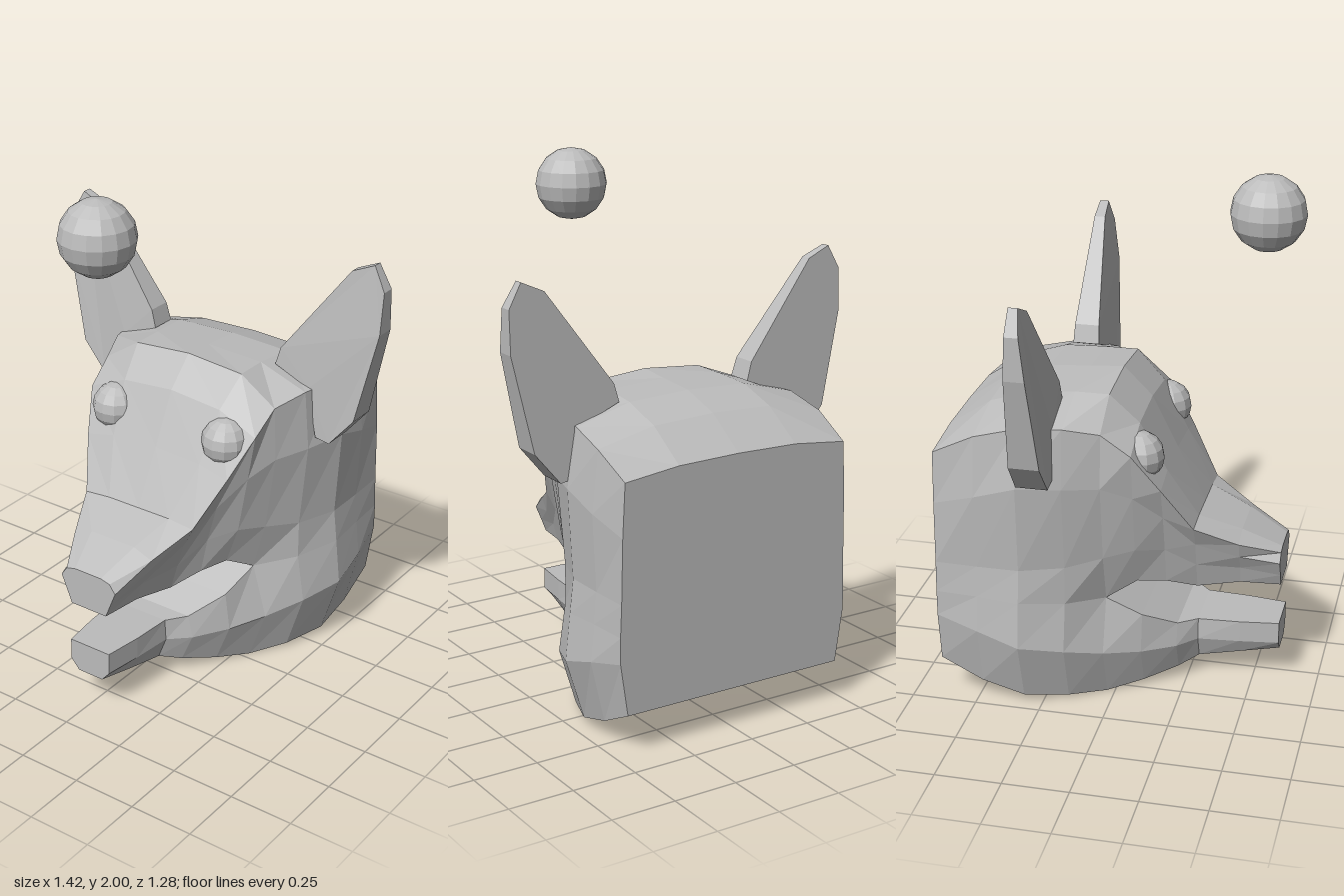
import * as THREE from 'three';

const grey = new THREE.MeshStandardMaterial({ color: 0xbcbcbc, flatShading: true });
grey.name = 'plain grey';

// Loft mirrored half outlines (listed top centre to bottom centre) from back to front.
function loft(sections, capBack, capFront) {
  const pos = [];
  const rings = sections.map(([z, ...half]) => {
    const mirrored = half.slice(1, -1).reverse().map(([x, y]) => [-x, y]);
    return [...half, ...mirrored].map(([x, y]) => [x, y, z]);
  });
  const tri = (...pts) => pts.forEach((p) => pos.push(...p));
  const n = rings[0].length;
  for (let i = 0; i < rings.length - 1; i++) {
    for (let k = 0; k < n; k++) {
      const a = rings[i][k], b = rings[i][(k + 1) % n];
      const d = rings[i + 1][k], c = rings[i + 1][(k + 1) % n];
      tri(a, d, c);
      tri(a, c, b);
    }
  }
  const back = rings[0], front = rings[rings.length - 1];
  for (let k = 1; k < n - 1; k++) {
    if (capBack) tri(back[0], back[k], back[k + 1]);
    if (capFront) tri(front[0], front[k + 1], front[k]);
  }
  const geo = new THREE.BufferGeometry();
  geo.setAttribute('position', new THREE.Float32BufferAttribute(pos, 3));
  geo.computeVertexNormals();
  return geo;
}

// Ear slab that thins towards its tip
function earGeometry(side) {
  const outline = [[0.28, 1.2], [0.3, 1.27], [0.57, 1.63], [0.66, 1.67], [0.71, 1.58],
    [0.71, 1.42], [0.63, 1.06], [0.53, 0.94], [0.47, 0.95], [0.43, 1.14]];
  const shape = new THREE.Shape(outline.map(([x, y]) => new THREE.Vector2(side * x, y)));
  const geo = new THREE.ExtrudeGeometry(shape, { depth: 1, bevelEnabled: false });
  const p = geo.attributes.position;
  for (let i = 0; i < p.count; i++) {
    const t = (p.getY(i) - 0.94) / 0.73;
    const zBack = -0.31 + 0.03 * t;
    const zFront = -0.19 - 0.055 * t * t;
    p.setZ(i, p.getZ(i) > 0.5 ? zFront : zBack);
  }
  geo.computeVertexNormals();
  return geo;
}

export function createModel() {
  const model = new THREE.Group();
  model.name = 'animalHead';
  const add = (name, geo, x = 0, y = 0, z = 0) => {
    const mesh = new THREE.Mesh(geo, grey);
    mesh.name = name;
    mesh.position.set(x, y, z);
    model.add(mesh);
    return mesh;
  };

  // Skull and cheeks, flat at the back
  add('skull', loft([
    [-0.64, [0, 1.05], [0.25, 1.045], [0.47, 1.02], [0.48, 0.82], [0.485, 0.58], [0.49, 0.46], [0.49, 0.36], [0.46, 0.16], [0, 0.16]],
    [-0.48, [0, 1.16], [0.25, 1.15], [0.48, 1.1], [0.505, 0.87], [0.49, 0.58], [0.5, 0.46], [0.515, 0.32], [0.46, 0.08], [0, 0.08]],
    [-0.32, [0, 1.21], [0.25, 1.2], [0.47, 1.14], [0.51, 0.92], [0.49, 0.58], [0.505, 0.45], [0.525, 0.27], [0.45, 0.03], [0, 0.03]],
    [-0.16, [0, 1.22], [0.24, 1.21], [0.44, 1.14], [0.46, 0.91], [0.43, 0.58], [0.43, 0.43], [0.46, 0.24], [0.39, 0.015], [0, 0.015]],
    [-0.03, [0, 1.23], [0.24, 1.21], [0.39, 1.11], [0.4, 0.9], [0.36, 0.6], [0.31, 0.41], [0.37, 0.2], [0.3, 0], [0, 0]],
  ], true, false));

  // Face and upper snout
  add('snout', loft([
    [-0.03, [0, 1.23], [0.24, 1.21], [0.39, 1.11], [0.4, 0.9], [0.36, 0.6], [0.31, 0.41], [0, 0.41]],
    [0.08, [0, 1.12], [0.22, 1.1], [0.38, 1.03], [0.35, 0.85], [0.31, 0.62], [0.26, 0.47], [0, 0.47]],
    [0.18, [0, 0.92], [0.2, 0.91], [0.325, 0.88], [0.28, 0.75], [0.24, 0.6], [0.21, 0.455], [0, 0.455]],
    [0.29, [0, 0.71], [0.14, 0.71], [0.25, 0.7], [0.21, 0.62], [0.18, 0.52], [0.15, 0.415], [0, 0.415]],
    [0.45, [0, 0.65], [0.1, 0.65], [0.18, 0.62], [0.16, 0.56], [0.13, 0.5], [0.11, 0.43], [0, 0.43]],
    [0.6, [0, 0.575], [0.06, 0.575], [0.1, 0.565], [0.125, 0.53], [0.1, 0.47], [0.08, 0.42], [0, 0.42]],
  ], false, true));

  // Open lower jaw
  add('lowerJaw', loft([
    [-0.03, [0, 0.41], [0.31, 0.41], [0.37, 0.2], [0.3, 0], [0, 0]],
    [0.1, [0, 0.33], [0.27, 0.33], [0.29, 0.18], [0.23, 0.025], [0, 0.025]],
    [0.22, [0, 0.26], [0.18, 0.26], [0.2, 0.17], [0.15, 0.055], [0, 0.055]],
    [0.29, [0, 0.255], [0.12, 0.255], [0.125, 0.17], [0.09, 0.08], [0, 0.08]],
    [0.45, [0, 0.255], [0.11, 0.255], [0.11, 0.17], [0.08, 0.11], [0, 0.11]],
    [0.6, [0, 0.255], [0.09, 0.255], [0.09, 0.17], [0.055, 0.13], [0, 0.13]],
  ], false, true));

  // Ears and eyes on both sides
  for (const [side, word] of [[1, 'left'], [-1, 'right']]) {
    add(word + 'Ear', earGeometry(side));
    add(word + 'Eye', new THREE.SphereGeometry(0.095, 12, 8), side * 0.255, 0.985, 0.085);
  }

  // Ball floating above the nose
  add('ball', new THREE.SphereGeometry(0.14, 16, 8), 0, 1.86, 0.5);
  return model;
}
